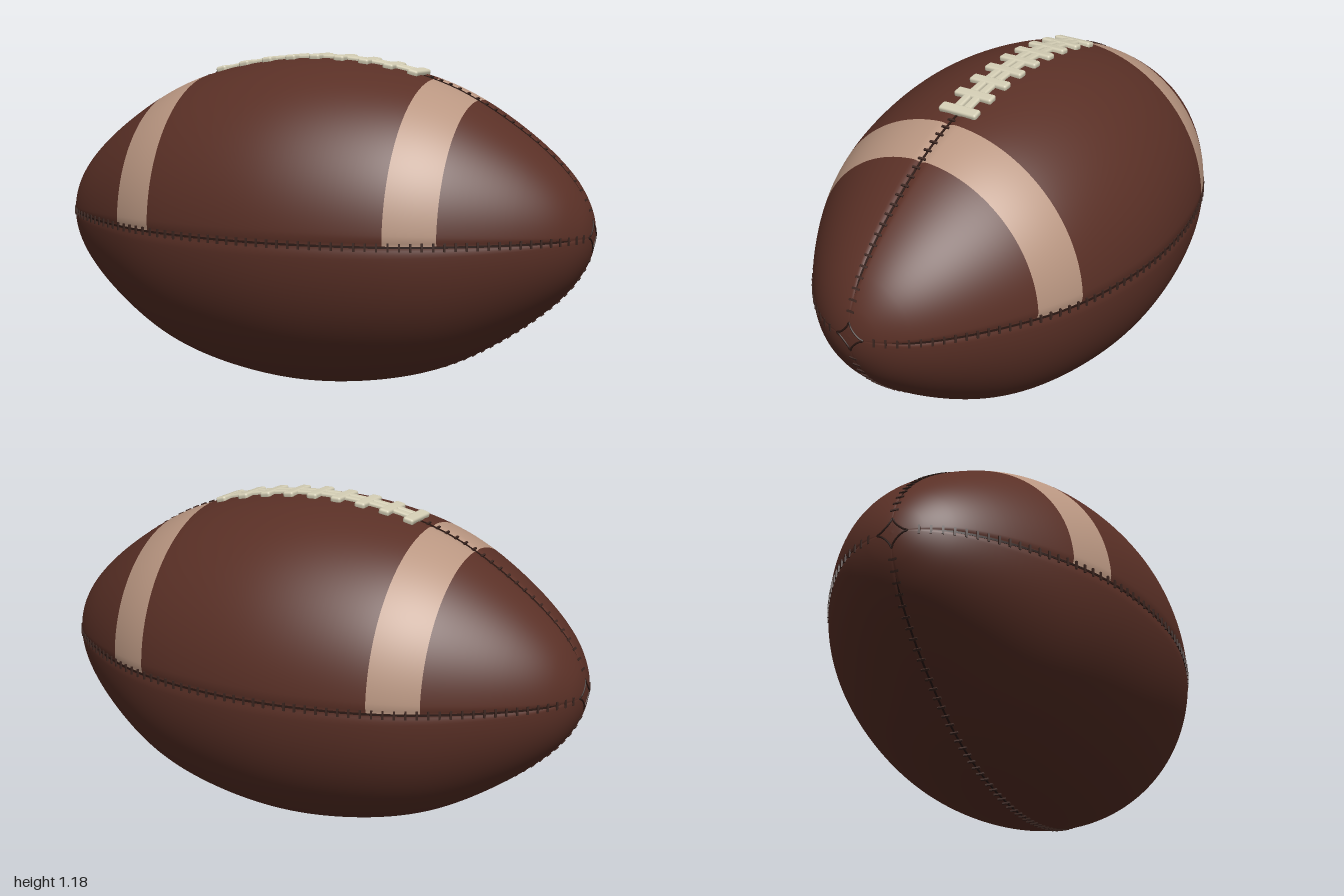
import * as THREE from 'three';
import { mergeGeometries, mergeVertices } from 'three/addons/utils/BufferGeometryUtils.js';
import { RoundedBoxGeometry } from 'three/addons/geometries/RoundedBoxGeometry.js';

const CENTER_Y = 0.588;

// Half profile (x, radius); two of the points are the stripe edges
const half = [[0, 0.582], [0.22, 0.564], [0.43, 0.515], [0.59, 0.445], [0.8, 0.305],
  [0.92, 0.19], [0.975, 0.1], [0.993, 0.04], [0.996, 0]];
const points = [...half.slice(1).reverse().map(([x, r]) => [-x, r]), ...half]
  .map(([x, r]) => new THREE.Vector3(x, r, 0));
const profile = new THREE.CatmullRomCurve3(points);
profile.arcLengthDivisions = 800;
const LENGTH = profile.getLength();

const material = (name, color, side = THREE.FrontSide) => {
  const m = new THREE.MeshStandardMaterial({ color, side });
  m.name = name;
  return m;
};

// Leather body: rings along the profile, shallow grooves on the four seams
function bodyGeometry() {
  const perSpan = 8, around = 256;
  const rings = (points.length - 1) * perSpan;
  const position = [], brown = [], stripe = [];
  for (let i = 0; i <= rings; i++) {
    const p = profile.getPoint(i / rings);
    for (let j = 0; j < around; j++) {
      const a = (j / around) * Math.PI * 2;
      const off = (a + Math.PI / 4) % (Math.PI / 2) - Math.PI / 4;
      const groove = 0.006 * Math.exp(-((off / 0.03) ** 2)) * Math.min(1, p.y / 0.2);
      const r = Math.max(0, p.y - groove);
      position.push(p.x, r * Math.sin(a), r * Math.cos(a));
    }
  }
  for (let i = 0; i < rings; i++) {
    const x = Math.abs(profile.getPoint((i + 0.5) / rings).x);
    for (let j = 0; j < around; j++) {
      const k = (j + 1) % around;
      const a = i * around + j, b = a + around, c = (i + 1) * around + k, d = i * around + k;
      const onStripe = x > 0.43 && x < 0.59 && j < around / 2;
      (onStripe ? stripe : brown).push(a, b, c, a, c, d);
    }
  }
  const g = new THREE.BufferGeometry();
  g.setAttribute('position', new THREE.Float32BufferAttribute(position, 3));
  g.setIndex([...brown, ...stripe]);
  g.addGroup(0, brown.length, 0);
  g.addGroup(brown.length, stripe.length, 1);
  g.computeVertexNormals();
  return g;
}

// Bends a geometry onto the ball: x runs lengthwise, y around, z outward
function wrap(geometry, s, angle, lift) {
  const pos = geometry.attributes.position;
  for (let i = 0; i < pos.count; i++) {
    const u = THREE.MathUtils.clamp(0.5 + (s + pos.getX(i)) / LENGTH, 0, 1);
    const p = profile.getPointAt(u), t = profile.getTangentAt(u);
    const h = pos.getZ(i) + lift;
    const a = angle + pos.getY(i) / Math.max(p.y, 0.02);
    const r = p.y + t.x * h;
    pos.setXYZ(i, p.x - t.y * h, r * Math.sin(a), r * Math.cos(a));
  }
  geometry.computeVertexNormals();
  return geometry;
}

// Rounded box with shared vertices, so it shades smoothly
function softBox(w, h, d, radius) {
  const g = new RoundedBoxGeometry(w, h, d, 3, radius);
  g.deleteAttribute('normal');
  g.deleteAttribute('uv');
  return mergeVertices(g, 1e-5);
}

// Distance along the profile from the middle at which it narrows to a radius
function reachAtRadius(radius) {
  let lo = 0.5, hi = 1;
  for (let i = 0; i < 30; i++) {
    const mid = (lo + hi) / 2;
    if (profile.getPointAt(mid).y > radius) lo = mid; else hi = mid;
  }
  return (lo - 0.5) * LENGTH;
}

export function createModel() {
  const ball = new THREE.Group();
  ball.name = 'football';
  ball.position.y = CENTER_Y;

  const brown = material('brown leather', 0x5a3026);
  const tan = material('tan stripe', 0xb99681);
  const dark = material('dark seam', 0x2b1813);
  const thread = material('seam thread', 0x3c2620);
  const cream = material('cream lace', 0xd3cdb4);

  const add = (name, geometry, mat, parent = ball) => {
    const mesh = new THREE.Mesh(geometry, mat);
    mesh.name = name;
    parent.add(mesh);
    return mesh;
  };

  add('body', bodyGeometry(), [brown, tan]);

  // Four seams with rows of cross stitches
  const reach = reachAtRadius(0.05);
  const seamNames = ['frontSeam', 'topSeam', 'backSeam', 'bottomSeam'];
  seamNames.forEach((name, q) => {
    const angle = (q * Math.PI) / 2;
    const line = new THREE.BoxGeometry(reach * 2, 0.007, 0.006, 160, 1, 1);
    add(name, wrap(line, 0, angle, -0.005), dark);

    const stitches = [];
    const count = 64;
    for (let i = 0; i < count; i++) {
      const s = ((i + 0.5) / count * 2 - 1) * (reach - 0.02);
      if (q === 1 && Math.abs(s) < 0.4) continue;
      stitches.push(wrap(new THREE.BoxGeometry(0.007, 0.028, 0.006, 1, 4, 1), s, angle, 0.0005));
    }
    add(name + 'Stitches', mergeGeometries(stitches), thread);
  });

  // Concave four-pointed seam around each tip
  for (const side of [1, -1]) {
    const star = [];
    for (let i = 0; i < 48; i++) {
      const a = (i / 48) * Math.PI * 2;
      const c = Math.abs(Math.cos(a)), s = Math.abs(Math.sin(a));
      const r = 0.052 / (c ** 0.75 + s ** 0.75) ** (1 / 0.75);
      const x = profile.getPointAt(0.5 + reachAtRadius(r) / LENGTH).x;
      star.push(new THREE.Vector3(side * x, r * Math.sin(a), r * Math.cos(a)));
    }
    const curve = new THREE.CatmullRomCurve3(star, true);
    add(side > 0 ? 'leftTipSeam' : 'rightTipSeam', new THREE.TubeGeometry(curve, 96, 0.0035, 6, true), dark);
  }

  // Laces: nine cross bars joined by two rows of short strands
  const laces = new THREE.Group();
  laces.name = 'laces';
  ball.add(laces);
  const STEP = 0.0925;
  for (let i = -4; i <= 4; i++) {
    add('laceBar', wrap(softBox(0.04, 0.145, 0.024, 0.009), i * STEP, Math.PI / 2, 0.005), cream, laces);
    if (i === 4) continue;
    for (const y of [-0.018, 0.018]) {
      const strand = softBox(STEP, 0.03, 0.02, 0.008).translate(0, y, 0);
      add('laceStrand', wrap(strand, (i + 0.5) * STEP, Math.PI / 2, 0.002), cream, laces);
    }
  }

  const model = new THREE.Group();
  model.name = 'model';
  model.add(ball);
  return model;
}
